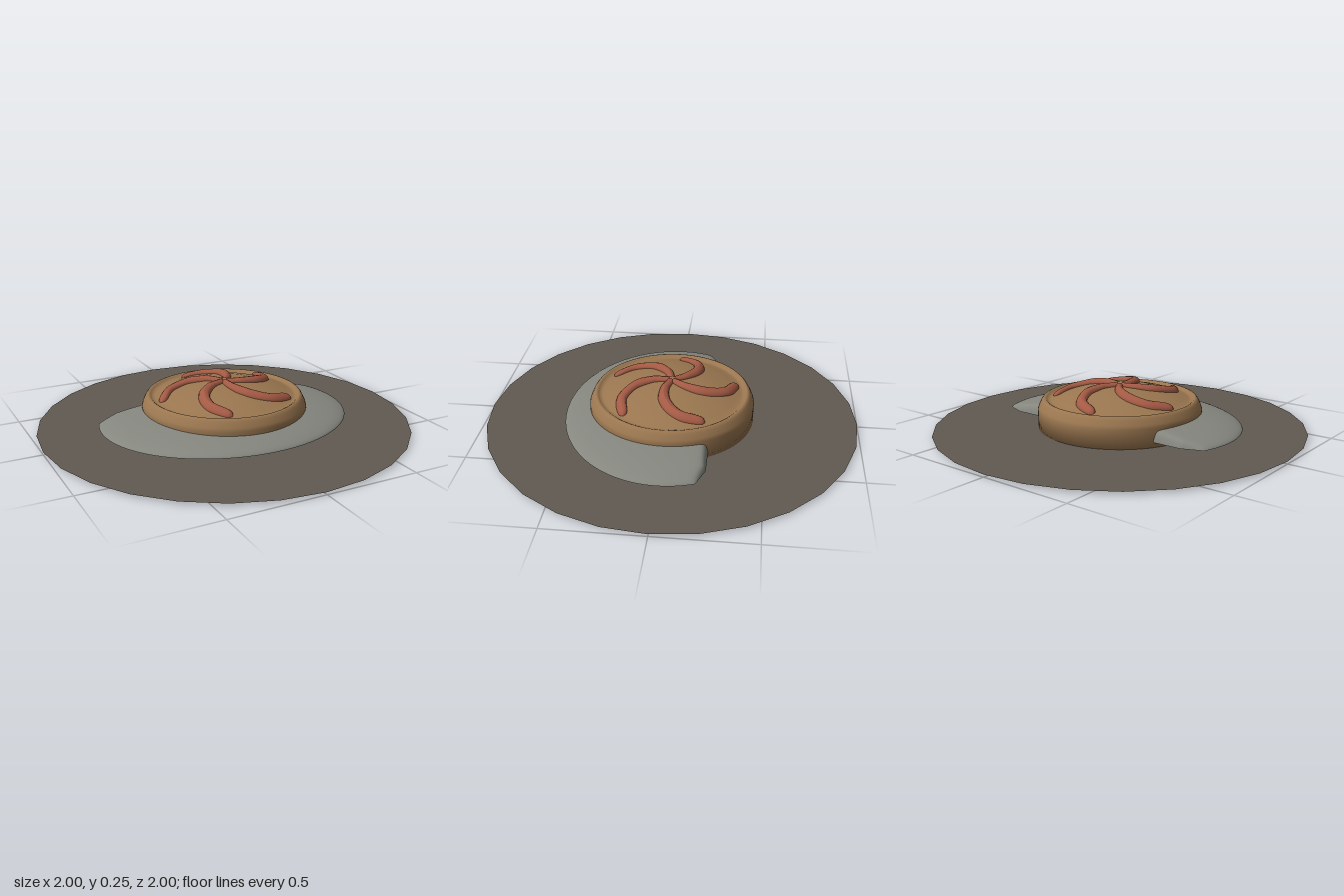
import * as THREE from 'three';

const mat = (name, color, side = THREE.FrontSide) => {
  const m = new THREE.MeshStandardMaterial({ color, side });
  m.name = name;
  return m;
};

// Dome profile of the button, groove to centre: [radius, height]
const DOME = [[0.385, 0.158], [0.37, 0.16], [0.34, 0.169], [0.3, 0.184], [0.2, 0.21], [0.1, 0.225], [0, 0.231]];

// Height of the dome at a radius
function domeHeight(r) {
  for (let i = 1; i < DOME.length; i++) {
    const [r0, y0] = DOME[i - 1], [r1, y1] = DOME[i];
    if (r >= r1) return y0 + (y1 - y0) * (Math.min(r, r0) - r0) / (r1 - r0);
  }
  return DOME[DOME.length - 1][1];
}

// Elliptical dome with a steep rounded end at the back, built from sections along x
function collarGeometry() {
  const rx = 0.685, rz = 0.572, base = 0.04, nx = 80, nz = 40;
  const pos = [], index = [];
  for (let i = 0; i <= nx; i++) {
    const x = -rx * Math.cos((i / nx) * Math.PI);
    const front = rz * Math.sqrt(Math.max(0, 1 - (x / rx) ** 2));
    const chamfer = THREE.MathUtils.clamp((0.65 - Math.abs(x)) / 0.11, 0, 1);
    const back = Math.max(-front, -0.18 - 0.043 * chamfer);
    for (let k = 0; k <= nz; k++) {
      const d = (front - back) * (1 - Math.cos((k / nz) * Math.PI)) / 2;
      const z = back + d;
      const t2 = Math.min(1, (x / rx) ** 2 + (z / rz) ** 2);
      const dome = 0.086 * Math.pow(1 - t2, 0.6);
      const wall = 1 - Math.exp(-d / 0.009);
      pos.push(x, base + dome * wall, z);
    }
  }
  for (let i = 0; i < nx; i++) {
    for (let k = 0; k < nz; k++) {
      const a = i * (nz + 1) + k, b = a + nz + 1;
      index.push(a, a + 1, b, b, a + 1, b + 1);
    }
  }
  const g = new THREE.BufferGeometry();
  g.setAttribute('position', new THREE.Float32BufferAttribute(pos, 3));
  g.setIndex(index);
  g.computeVertexNormals();
  return g;
}

// Curved, tapered ridge laid over the dome
function armGeometry() {
  const path = [[0.012, 62], [0.1, 50], [0.2, 37], [0.29, 20], [0.358, -1]];
  const curve = new THREE.CatmullRomCurve3(path.map(([r, deg]) => {
    const a = THREE.MathUtils.degToRad(deg);
    return new THREE.Vector3(r * Math.cos(a), 0, r * Math.sin(a));
  }));
  const steps = 48, sides = 12;
  const g = new THREE.TubeGeometry(curve, steps, 0.031, sides, false);
  const p = g.attributes.position;
  for (let i = 0; i < p.count; i++) {
    const u = Math.floor(i / (sides + 1)) / steps;
    const c = curve.getPointAt(u);
    const round = Math.sqrt(Math.max(0, 1 - Math.pow(u, 28)));
    const w = round * Math.min(1, 0.58 + 1.2 * u) * (1 - 0.18 * u * u);
    const x = c.x + (p.getX(i) - c.x) * w;
    const z = c.z + (p.getZ(i) - c.z) * w;
    p.setXYZ(i, x, domeHeight(Math.hypot(x, z)) + p.getY(i) * w * 0.9, z);
  }
  g.computeVertexNormals();
  return g;
}

export function createModel() {
  const model = new THREE.Group();
  model.name = 'swirlButton';
  const ground = mat('dark grey brown', 0x605a51, THREE.DoubleSide);
  const stone = mat('grey stone', 0x85877f, THREE.DoubleSide);
  const tan = mat('tan', 0x9b7750);
  const red = mat('brick red', 0xa45a44);

  const add = (name, geometry, material, parent = model) => {
    const m = new THREE.Mesh(geometry, material);
    m.name = name;
    parent.add(m);
    return m;
  };

  // Flat base disc
  add('baseDisc', new THREE.CircleGeometry(1, 28).rotateX(-Math.PI / 2), ground).position.y = 0.013;

  // Crescent collar in front and at the sides
  add('collar', collarGeometry(), stone);

  // Round button: closed underside, raised rim, groove and dome, all smoothly shaded
  const rim = [[0, 0], [0.442, 0], [0.442, 0.112], [0.436, 0.13], [0.422, 0.158], [0.412, 0.17], [0.403, 0.172], [0.394, 0.167]];
  const profile = [...rim, ...DOME].map(([r, y]) => new THREE.Vector2(r, y));
  add('button', new THREE.LatheGeometry(profile, 72), tan);

  // Five swirling ridges
  const swirl = new THREE.Group();
  swirl.name = 'swirl';
  model.add(swirl);
  const arm = armGeometry();
  for (let i = 0; i < 5; i++) {
    const tip = THREE.MathUtils.degToRad(39 + i * 72);
    add('swirlArm', arm, red, swirl).rotation.y = -tip;
  }
  return model;
}
